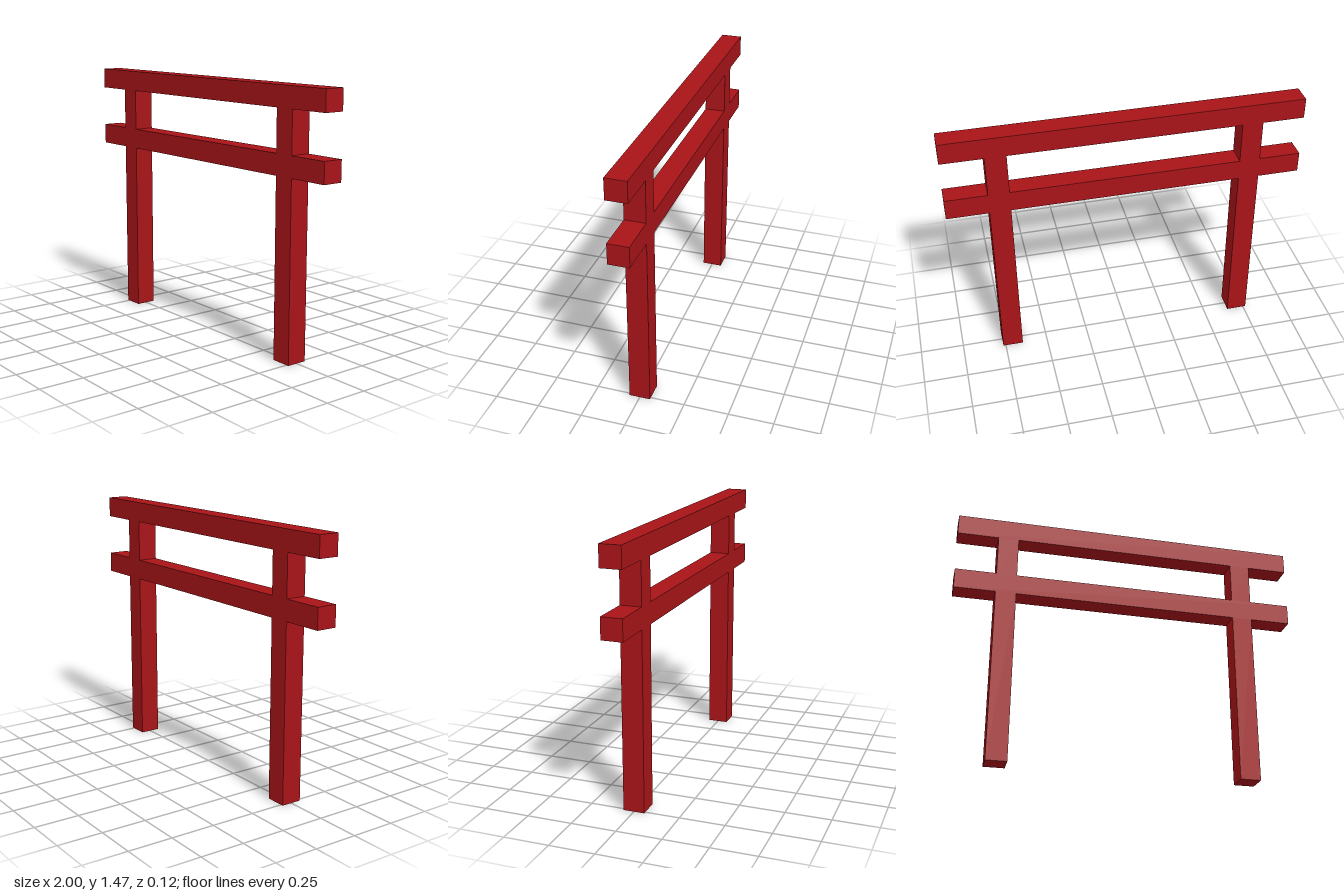
import * as THREE from 'three';

// One unit is the thickness of every timber; the gate is 17 units wide.
const U = 2 / 17;

export function createModel() {
  const gate = new THREE.Group();
  gate.name = 'gate';
  const red = new THREE.MeshStandardMaterial({ color: 0xa81418 });

  // Square timber given by width, bottom and top in units
  function timber(name, x, width, bottom, top) {
    const mesh = new THREE.Mesh(new THREE.BoxGeometry(width * U, (top - bottom) * U, U), red);
    mesh.position.set(x * U, ((bottom + top) / 2) * U, 0);
    mesh.name = name;
    gate.add(mesh);
  }

  // Crossbeams
  timber('topBeam', 0, 17, 11.5, 12.5);
  timber('lowerBeam', 0, 17, 8.5, 9.5);

  // Posts, interrupted by the lower beam so no faces overlap
  for (const [side, x] of [['left', 6], ['right', -6]]) {
    timber(side + 'LowerPost', x, 1, 0, 8.5);
    timber(side + 'UpperPost', x, 1, 9.5, 11.5);
  }
  return gate;
}
